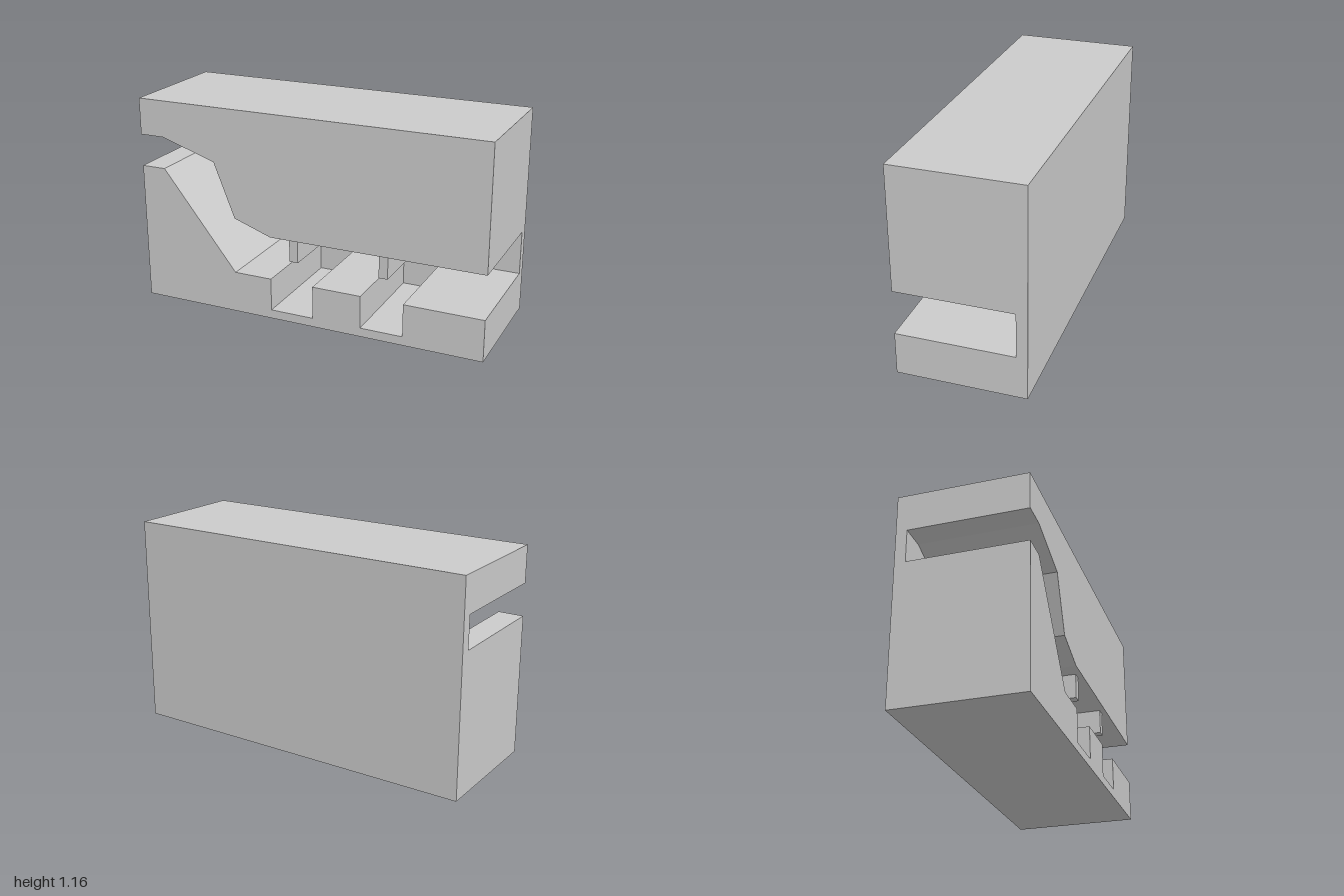
import * as THREE from 'three';

const BACK = -0.35, WALL = -0.29, FRONT = 0.35, TOP = 1.165;
const CEILING = 0.48, FLOOR = 0.235, PIT = 0.05;

export function createModel() {
  const group = new THREE.Group();
  const material = new THREE.MeshStandardMaterial({ color: 0xcccccc, flatShading: true });

  // Extrudes an x/y outline from z0 to z1
  function slab(name, points, z0, z1) {
    const shape = new THREE.Shape(points.map(([x, y]) => new THREE.Vector2(x, y)));
    const geometry = new THREE.ExtrudeGeometry(shape, { depth: z1 - z0, bevelEnabled: false });
    geometry.translate(0, 0, z0);
    const mesh = new THREE.Mesh(geometry, material);
    mesh.name = name;
    group.add(mesh);
  }
  const rect = (x0, y0, x1, y1) => [[x0, y0], [x1, y0], [x1, y1], [x0, y1]];

  // Closed wall behind the channel
  slab('backWall', rect(-1, 0, 1, TOP), BACK, WALL);

  // Lower block: ramp down to a floor with two pits
  const pits = [[-0.21, 0.04], [0.32, 0.56]];
  const floorLine = [[-1, 0.78], [-0.86, 0.78], [-0.43, FLOOR]];
  for (const [a, b] of pits) floorLine.push([a, FLOOR], [a, PIT], [b, PIT], [b, FLOOR]);
  floorLine.push([1, FLOOR]);
  slab('channelFloor', [...floorLine, [1, 0], [-1, 0]].reverse(), WALL, FRONT);

  // Upper block: ceiling of the channel
  slab('channelCeiling', [
    [-1, 0.96], [-0.86, 0.96], [-0.545, 0.86], [-0.425, 0.555], [-0.21, CEILING],
    [1, CEILING], [1, TOP], [-1, TOP],
  ], WALL, FRONT);

  // Baffles hanging over the pits, set back slightly from the front
  for (const x of [-0.11, 0.41]) {
    slab('baffle', rect(x, 0.345, x + 0.05, CEILING), WALL, 0.32);
  }

  return group;
}
